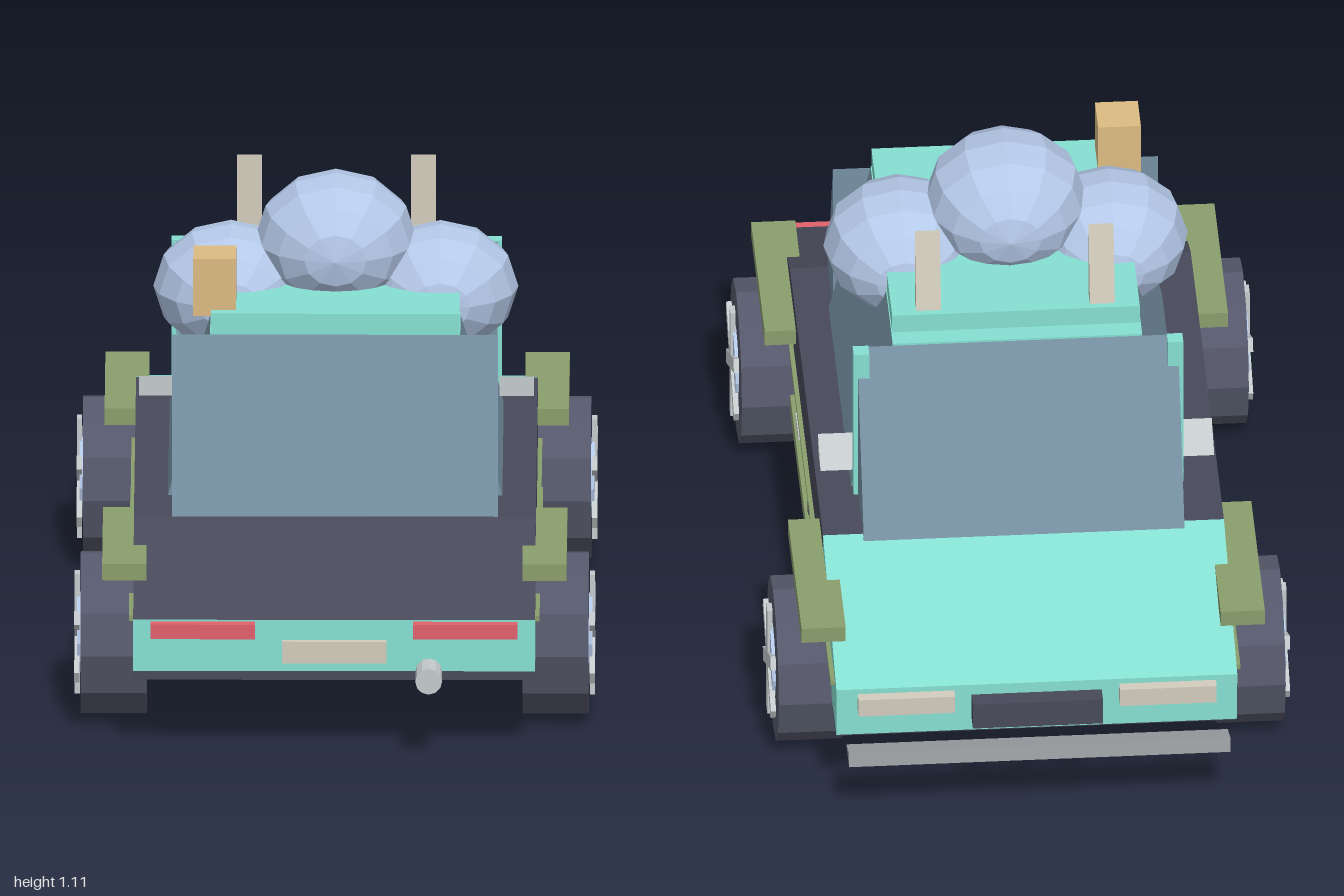
import * as THREE from 'three';

const mat = (color) => new THREE.MeshStandardMaterial({ color, flatShading: true });

export function createModel() {
  const car = new THREE.Group();
  car.name = 'car';
  const teal = mat(0x86e0d2), dark = mat(0x484a5a), tyre = mat(0x55586a), green = mat(0x8a9e6c);
  const glass = mat(0x7591a3), sky = mat(0xb4c8e8), red = mat(0xe0606c), beige = mat(0xd2ccbc);
  const steel = mat(0xc4cacc), tan = mat(0xdcbb82);

  const add = (name, geo, material, parent = car) => {
    const m = new THREE.Mesh(geo, material);
    m.name = name;
    parent.add(m);
    return m;
  };
  // Box given by its extents on each axis
  const box = (name, material, [x0, x1], [y0, y1], [z0, z1]) => {
    const g = new THREE.BoxGeometry(x1 - x0, y1 - y0, z1 - z0);
    g.translate((x0 + x1) / 2, (y0 + y1) / 2, (z0 + z1) / 2);
    return add(name, g, material);
  };
  // [z, y] side profile extruded across x
  const prism = (name, material, [x0, x1], profile) => {
    const shape = new THREE.Shape(profile.map(([z, y]) => new THREE.Vector2(z, y)));
    const g = new THREE.ExtrudeGeometry(shape, { depth: x1 - x0, bevelEnabled: false });
    g.rotateY(-Math.PI / 2).translate(x1, 0, 0);
    return add(name, g, material);
  };
  // x extents on the given side
  const onSide = (s, a, b) => (s > 0 ? [a, b] : [-b, -a]);

  // Body
  box('chassis', dark, [-0.448, 0.448], [0.17, 0.205], [-0.86, 0.89]);
  box('lowerBody', teal, [-0.45, 0.45], [0.2, 0.32], [-0.9, 0.92]);
  prism('upperBody', dark, [-0.45, 0.45], [[0.92, 0.32], [0.57, 0.453], [-0.48, 0.453], [-0.48, 0.32]]);
  prism('hood', teal, [-0.45, 0.45], [[-0.48, 0.32], [-0.48, 0.453], [-0.905, 0.325], [-0.905, 0.3], [-0.48, 0.3]]);

  // Cabin: sloped rear and front glass, side windows leaning inwards
  prism('rearGlass', glass, [-0.365, 0.365], [[0.57, 0.45], [0.41, 0.83], [0.41, 0.45]]);
  prism('windscreen', glass, [-0.36, 0.36], [[-0.505, 0.45], [-0.29, 0.45], [-0.29, 0.83]]);
  const section = new THREE.Shape([[-0.375, 0.45], [0.375, 0.45], [0.28, 0.83], [-0.28, 0.83]]
    .map(([x, y]) => new THREE.Vector2(x, y)));
  const cabin = new THREE.ExtrudeGeometry(section, { depth: 0.7, bevelEnabled: false });
  cabin.translate(0, 0, -0.29);
  add('sideWindows', cabin, glass);
  box('roofBase', teal, [-0.28, 0.28], [0.825, 0.835], [-0.29, 0.41]);
  box('roof', teal, [-0.278, 0.278], [0.832, 0.88], [-0.245, 0.413]);

  // Roof load
  for (const [x, y, r, ry] of [[0, 0.955, 0.182, 0.155], [0.235, 0.845, 0.174, 0.145], [-0.235, 0.845, 0.174, 0.145]]) {
    const g = new THREE.SphereGeometry(1, 12, 8);
    g.rotateX(Math.PI / 2).scale(r, ry, r);
    add('roofBall', g, sky).position.set(x, y, 0.09);
  }
  box('roofCrate', tan, [-0.318, -0.222], [0.866, 1], [0.287, 0.386]);

  // Paired parts
  for (const s of [1, -1]) {
    prism('roofFin', beige, onSide(s, 0.167, 0.223), [[-0.185, 0.87], [-0.185, 1.067], [-0.232, 0.87]]);
    prism('mirror', steel, onSide(s, 0.365, 0.442), [[-0.207, 0.495], [-0.207, 0.54], [-0.288, 0.495]]);
    box('pillar', teal, onSide(s, 0.335, 0.37), [0.45, 0.833], [-0.325, -0.29]);
    box('waistTrim', green, onSide(s, 0.44, 0.46), [0.308, 0.32], [-0.86, 0.89]);
    box('sill', green, onSide(s, 0.44, 0.462), [0.19, 0.23], [-0.37, 0.395]);
    for (const z of [0.28, -0.07]) {
      box('doorSeam', dark, onSide(s, 0.44, 0.455), [0.23, 0.31], [z - 0.006, z + 0.006]);
    }
    box('doorHandle', steel, onSide(s, 0.44, 0.462), [0.284, 0.3], [0.14, 0.225]);
    box('rearLight', red, onSide(s, 0.177, 0.411), [0.282, 0.316], [0.91, 0.945]);
    box('headlight', beige, onSide(s, 0.185, 0.402), [0.268, 0.312], [-0.93, -0.89]);

    // Fenders and wheels with three crossed spoke bars
    for (const z of [0.595, -0.575]) {
      box('fender', green, onSide(s, 0.421, 0.52), [0.378, 0.416], [z - 0.215, z + 0.215]);
      const wheel = new THREE.Group();
      wheel.name = 'wheel';
      wheel.position.set(s * 0.495, 0.19, z);
      car.add(wheel);
      const disc = (name, r, w, x, m) => {
        const g = new THREE.CylinderGeometry(r, r, w, 12);
        g.rotateZ(Math.PI / 2);
        add(name, g, m, wheel).position.x = s * x;
      };
      disc('tyre', 0.186, 0.148, 0, tyre);
      disc('hub', 0.092, 0.012, 0.076, sky);
      for (let i = 0; i < 3; i++) {
        const spoke = add('spoke', new THREE.BoxGeometry(0.012, 0.28, 0.032), steel, wheel);
        spoke.position.x = s * 0.082;
        spoke.rotation.x = (i * Math.PI) / 3;
      }
    }
  }

  // Bumper, grille, plate and exhaust
  prism('bumper', steel, [-0.428, 0.428], [[-0.91, 0.18], [-1, 0.18], [-1, 0.218]]).material = mat(0xa4a8ac);
  box('grille', dark, [-0.146, 0.146], [0.23, 0.295], [-0.94, -0.89]);
  box('plate', beige, [-0.117, 0.117], [0.222, 0.273], [0.91, 0.934]);
  const pipe = new THREE.CylinderGeometry(0.03, 0.03, 0.1, 12);
  pipe.rotateX(Math.PI / 2);
  add('exhaust', pipe, steel).position.set(0.212, 0.2, 0.95);

  return car;
}
